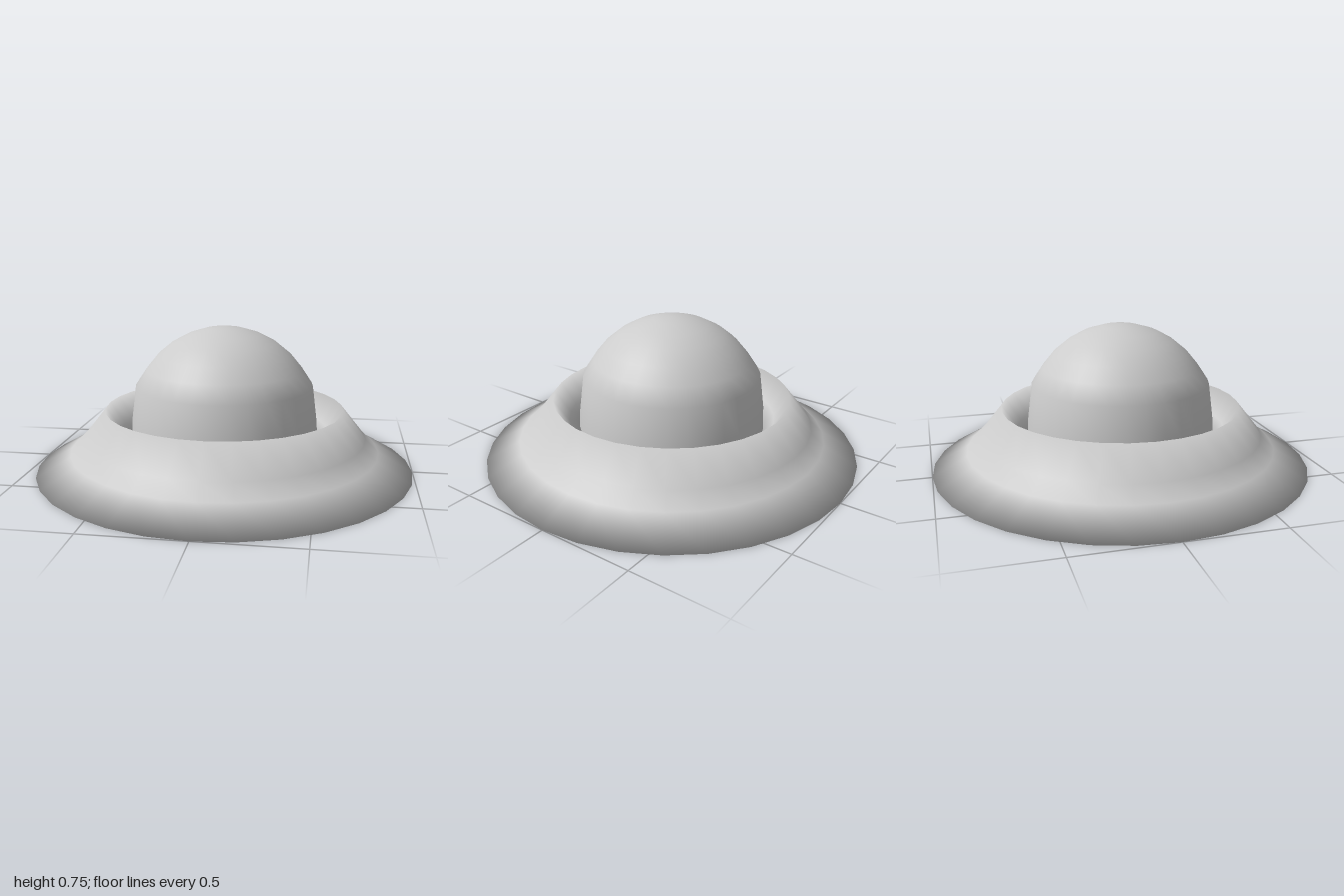
import * as THREE from 'three';
import { mergeVertices } from 'three/addons/utils/BufferGeometryUtils.js';

const SEGMENTS = 32;

// Turned part with fully smooth normals, welded along its seam
function turned(name, profile) {
  let geometry = new THREE.LatheGeometry(profile.map(([r, y]) => new THREE.Vector2(r, y)), SEGMENTS);
  geometry.deleteAttribute('uv');
  geometry.deleteAttribute('normal');
  geometry = mergeVertices(geometry, 1e-4);
  geometry.computeVertexNormals();
  const material = new THREE.MeshStandardMaterial({ color: 0xcccccc, side: THREE.DoubleSide });
  const mesh = new THREE.Mesh(geometry, material);
  mesh.name = name;
  return mesh;
}

export function createModel() {
  const group = new THREE.Group();
  group.name = 'saucer';

  // Flared ring: flat underside, stepped outer slope, raised lip and inner valley
  group.add(turned('flaredRing', [
    [0.55, 0.16], [0.756, 0], [1, 0], [0.82, 0.1], [0.75, 0.17],
    [0.63, 0.32], [0.55, 0.2], [0.49, 0.15], [0.55, 0.16],
  ]));

  // Dome: nearly straight skirt under a rounded cap, open at the bottom
  const radius = 0.495, centre = 0.255;
  const dome = [[0.497, 0.15], [0.493, 0.25]];
  for (let i = 6; i >= 0; i--) {
    const a = (i * Math.PI) / 16;
    dome.push([i === 6 ? 0.468 : radius * Math.sin(a), centre + radius * Math.cos(a)]);
  }
  group.add(turned('dome', dome));

  return group;
}
